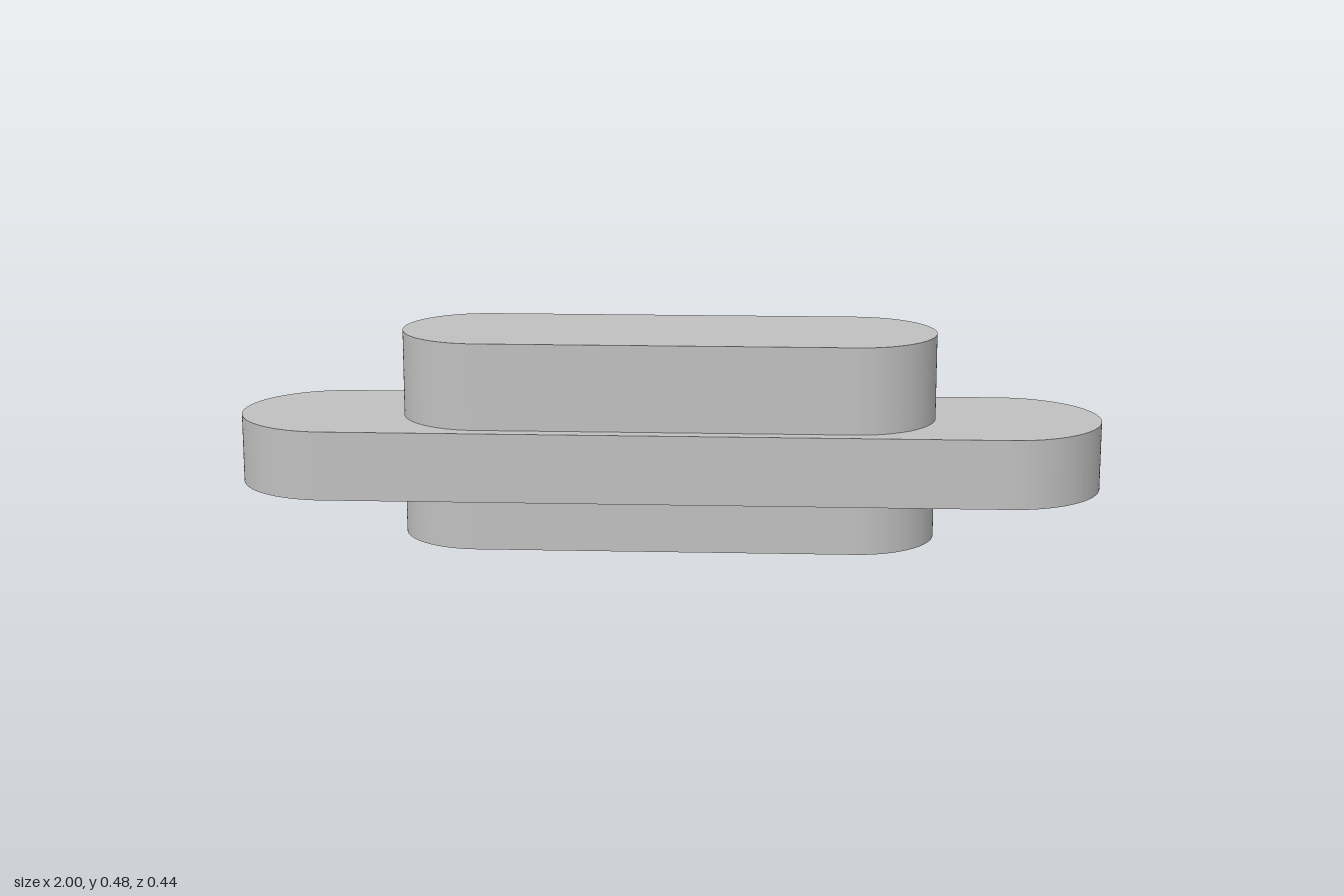
import * as THREE from 'three';
import { toCreasedNormals } from 'three/addons/utils/BufferGeometryUtils.js';

const grey = new THREE.MeshStandardMaterial({ color: 0xc0c0c0 });
grey.name = 'plain grey';

// Upright slab with straight long sides and half-round ends
function roundEndedSlab(name, halfLength, radius, bottom, top) {
  const c = halfLength - radius;
  const outline = new THREE.Shape();
  outline.absarc(c, 0, radius, -Math.PI / 2, Math.PI / 2, false);
  outline.absarc(-c, 0, radius, Math.PI / 2, Math.PI * 1.5, false);
  outline.closePath();
  const slab = new THREE.ExtrudeGeometry(outline, {
    depth: top - bottom, bevelEnabled: false, curveSegments: 32,
  });
  slab.rotateX(-Math.PI / 2).translate(0, bottom, 0);
  const mesh = new THREE.Mesh(toCreasedNormals(slab, Math.PI / 6), grey);
  mesh.name = name;
  return mesh;
}

export function createModel() {
  const model = new THREE.Group();
  model.name = 'flangedBlock';
  model.add(
    roundEndedSlab('lowerBoss', 0.618, 0.186, 0, 0.12),
    roundEndedSlab('flange', 1, 0.22, 0.12, 0.28),
    roundEndedSlab('upperBoss', 0.618, 0.186, 0.28, 0.48),
  );
  return model;
}
